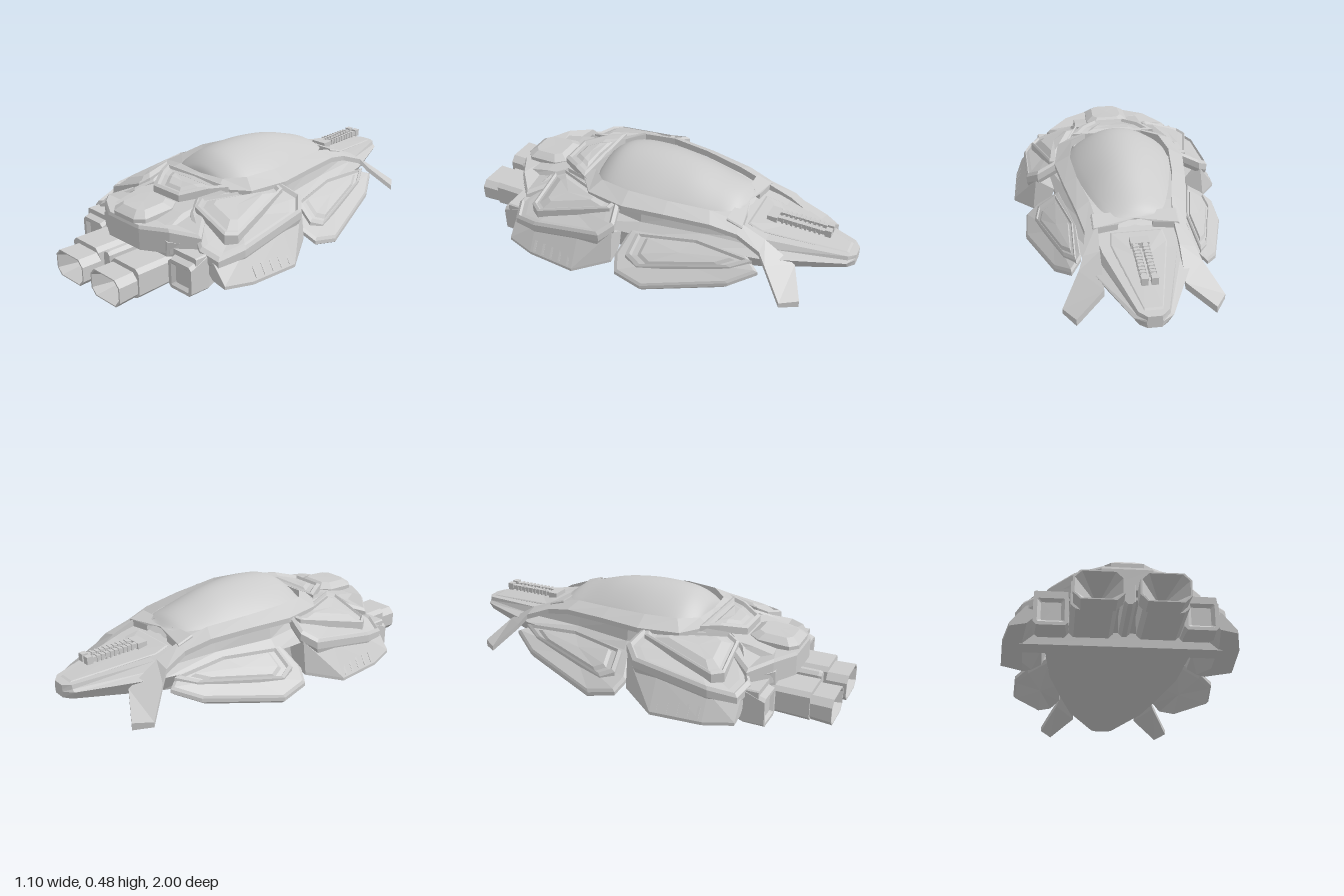
import * as THREE from 'three';

const material = new THREE.MeshStandardMaterial({ color: 0xcccccc, flatShading: true });
const smooth = new THREE.MeshStandardMaterial({ color: 0xcccccc, side: THREE.DoubleSide });

// Skin a closed solid through rings of equal point count, capped at both ends, facing outwards
function loft(rings) {
  const n = rings[0].length, pos = [], tris = [];
  const centre = r => r.reduce((s, p) => s.map((v, k) => v + p[k] / n), [0, 0, 0]);
  const first = centre(rings[0]), last = centre(rings[rings.length - 1]);
  for (let j = 0; j < n; j++) {
    const k = (j + 1) % n;
    tris.push([first, rings[0][k], rings[0][j]]);
    tris.push([last, rings[rings.length - 1][j], rings[rings.length - 1][k]]);
    for (let i = 0; i + 1 < rings.length; i++) {
      const a = rings[i], b = rings[i + 1];
      tris.push([a[j], a[k], b[k]], [a[j], b[k], b[j]]);
    }
  }
  let volume = 0;
  for (const [a, b, c] of tris) {
    volume += a[0] * (b[1] * c[2] - b[2] * c[1]) + a[1] * (b[2] * c[0] - b[0] * c[2]) + a[2] * (b[0] * c[1] - b[1] * c[0]);
  }
  for (const [a, b, c] of tris) pos.push(...a, ...(volume > 0 ? b : c), ...(volume > 0 ? c : b));
  const g = new THREE.BufferGeometry();
  g.setAttribute('position', new THREE.Float32BufferAttribute(pos, 3));
  g.computeVertexNormals();
  return g;
}

// Rings of a layered plate: each layer is [scale about the centre, rise]
function plate(outline, layers) {
  const c = [0, 1, 2].map(k => outline.reduce((s, p) => s + p[k], 0) / outline.length);
  return layers.map(([s, dy]) => outline.map(p => p.map((v, k) => c[k] + (v - c[k]) * s + (k === 1 ? dy : 0))));
}

// Rectangle with chamfered corners, facing z
function octRing(cx, cy, w, h, c, z) {
  const x = w / 2, y = h / 2;
  return [[x - c, y], [x, y - c], [x, c - y], [x - c, -y], [c - x, -y], [-x, c - y], [-x, y - c], [c - x, y]]
    .map(([a, b]) => [cx + a, cy + b, z]);
}

// Complete an outline that is given for the +x half only
const fullOutline = half => [...half, ...half.map(([x, y, z]) => [-x, y, z]).reverse()];

export function createModel() {
  const group = new THREE.Group();
  const add = (name, geometry, mat = material) => {
    const m = new THREE.Mesh(geometry, mat);
    m.name = name;
    group.add(m);
  };
  const both = (name, rings) => {
    add(name + 'Left', loft(rings));
    add(name + 'Right', loft(rings.map(r => r.map(([x, y, z]) => [-x, y, z]))));
  };
  const box = (name, x, y, z, w, h, d) => add(name, new THREE.BoxGeometry(w, h, d).translate(x, y, z));

  // Main hull: z, top half-width, top y, edge half-width, edge y, bottom half-width, bottom y
  const stations = [
    [-1, 0.03, 0.23, 0.035, 0.2, 0.03, 0.17],
    [-0.97, 0.065, 0.235, 0.085, 0.205, 0.06, 0.165],
    [-0.6, 0.17, 0.275, 0.25, 0.22, 0.2, 0.135],
    [-0.3, 0.215, 0.335, 0.29, 0.205, 0.26, 0.11],
    [0, 0.27, 0.34, 0.33, 0.2, 0.32, 0.1],
    [0.35, 0.2, 0.345, 0.37, 0.2, 0.35, 0.11],
    [0.6, 0.18, 0.3, 0.36, 0.2, 0.34, 0.14],
    [0.73, 0.18, 0.27, 0.23, 0.22, 0.22, 0.15],
  ];
  add('hull', loft(stations.map(([z, wt, yt, wm, ym, wb, yb]) =>
    fullOutline([[wt, yt, z], [wt * 0.75 + wm * 0.25, yt * 0.35 + ym * 0.65, z], [wm, ym, z], [wb, yb, z]]))));

  // Raised nose deck
  add('noseDeck', loft(plate(
    fullOutline([[0.04, 0.232, -0.97], [0.13, 0.28, -0.56], [0.12, 0.297, -0.49]]),
    [[1, -0.03], [1, 0.002], [0.95, 0.006]])));

  // Canopy dome swept along z: half-width, crest y, z
  const crest = new THREE.CatmullRomCurve3([
    [0.07, 0.35, 0.33], [0.165, 0.405, 0.3], [0.23, 0.456, 0.22], [0.25, 0.475, 0.05], [0.215, 0.46, -0.15],
    [0.175, 0.42, -0.3], [0.135, 0.385, -0.4], [0.07, 0.35, -0.45],
  ].map(p => new THREE.Vector3(...p)));
  const dome = new THREE.PlaneGeometry(2, 1, 28, 40);
  const p = dome.attributes.position;
  for (let i = 0; i < p.count; i++) {
    const u = p.getX(i), c = crest.getPoint(p.getY(i) + 0.5);
    const arch = Math.max(Math.cos(u * Math.PI / 2), 0) ** 0.88;
    p.setXYZ(i, c.x * u, 0.35 + (c.y - 0.35) * arch, c.z);
  }
  dome.computeVertexNormals();
  add('canopy', dome, smooth);

  // Canopy frame running into splayed prongs: inner x, z, y then outer x, z, y
  const frame = [
    [0, 0.33, 0.375, 0, 0.39, 0.36], [0.15, 0.32, 0.38, 0.18, 0.38, 0.355],
    [0.23, 0.24, 0.39, 0.3, 0.28, 0.35], [0.255, 0.08, 0.393, 0.33, 0.08, 0.35],
    [0.235, -0.12, 0.385, 0.3, -0.13, 0.35], [0.195, -0.32, 0.372, 0.26, -0.35, 0.34],
    [0.175, -0.46, 0.34, 0.235, -0.48, 0.31], [0.18, -0.6, 0.285, 0.255, -0.6, 0.265],
    [0.18, -0.755, 0.19, 0.28, -0.64, 0.215], [0.31, -0.83, 0.1, 0.365, -0.75, 0.1],
  ];
  both('canopyFrame', frame.map(([xi, zi, yi, xo, zo, yo]) =>
    [[xi, yi, zi], [xo, yo, zo], [xo, yo - 0.025, zo], [xi, yi - 0.035, zi]]));
  add('frameCrossbar', loft(plate(
    fullOutline([[0.2, 0.352, -0.41], [0.2, 0.325, -0.49], [0.08, 0.325, -0.47], [0.08, 0.352, -0.43]]),
    [[1, -0.03], [1, 0], [0.97, 0.006]])));

  // Side fins behind the prongs
  const fin = [[0.31, 0.19, -0.62], [0.38, 0.13, -0.5], [0.5, 0.045, -0.1], [0.49, 0.075, 0.04],
    [0.43, 0.12, 0.07], [0.32, 0.205, 0.04], [0.26, 0.22, -0.3], [0.26, 0.215, -0.55]];
  both('sideFin', plate(fin, [[0.93, -0.03], [1, -0.015], [1, 0.003], [0.95, 0.012]]));
  const finPanel = [[0.285, 0.21, -0.58], [0.335, 0.175, -0.49], [0.45, 0.1, -0.06], [0.43, 0.13, 0.01],
    [0.34, 0.2, 0], [0.275, 0.22, -0.3]];
  both('finPanel', plate(finPanel, [[1, -0.02], [1, 0.018], [0.92, 0.026], [0.88, 0.012], [0.77, 0.012], [0.7, 0.024]]));

  // Shoulder armour with a recessed border and a raised wedge
  const armour = [[0.2, 0.295, 0.57], [0.15, 0.33, 0.49], [0.2, 0.35, 0.36], [0.31, 0.345, 0.1], [0.42, 0.3, 0.07],
    [0.475, 0.255, 0.13], [0.48, 0.19, 0.5], [0.445, 0.165, 0.63], [0.36, 0.2, 0.66]];
  both('shoulderArmour', plate(armour, [[0.96, -0.06], [1, -0.035], [1, 0], [0.94, 0.012], [0.9, -0.002], [0.8, 0]]));
  const wedge = [[0.32, 0.335, 0.12], [0.355, 0.33, 0.13], [0.435, 0.24, 0.5], [0.4, 0.245, 0.55], [0.2, 0.315, 0.54], [0.18, 0.335, 0.49]];
  both('armourWedge', plate(wedge, [[1, -0.04], [1, 0.006], [0.93, 0.012], [0.88, 0], [0.8, 0.002], [0.55, 0.02]]));

  // Flared skirts under the shoulders: z, top x, y, lower x, y, inner x, y
  const skirt = [[0.08, 0.43, 0.26, 0.45, 0.09, 0.41, 0.1], [0.25, 0.465, 0.21, 0.548, 0.04, 0.45, 0.06],
    [0.5, 0.465, 0.17, 0.53, 0.04, 0.44, 0.06], [0.64, 0.43, 0.15, 0.495, 0.055, 0.42, 0.07]];
  both('skirt', skirt.map(([z, tx, ty, lx, ly, ix, iy]) =>
    [[0.34, 0.2, z], [tx, ty, z], [lx, ly + 0.015, z], [lx, ly, z], [ix, iy, z], [0.36, 0.13, z]]));
  for (let i = 0; i < 5; i++) {
    const z = 0.27 + i * 0.05, x = 0.535 - i * 0.003;
    both('skirtRib' + i, [z, z + 0.012].map(t => [[x - 0.022, 0.115, t], [x + 0.008, 0.065, t], [x - 0.01, 0.06, t]]));
  }

  // Underside crossbeam
  box('crossbeam', 0, 0.1, 0.42, 0.92, 0.09, 0.09);

  // Engine deck, its rounded cover and the collar under the canopy
  add('engineDeck', loft(plate(
    fullOutline([[0.11, 0.275, 0.79], [0.235, 0.275, 0.72], [0.34, 0.25, 0.63], [0.25, 0.29, 0.52]]),
    [[1, -0.11], [1, -0.01], [0.95, 0.005]])));
  add('engineCover', loft(plate(
    fullOutline([[0.07, 0.285, 0.785], [0.11, 0.285, 0.75], [0.115, 0.295, 0.6], [0.08, 0.3, 0.55]]),
    [[1, -0.06], [1, 0.012], [0.88, 0.022], [0.68, 0.038]])));
  add('rearCollar', loft(plate(
    fullOutline([[0.22, 0.36, 0.35], [0.17, 0.36, 0.43], [0.09, 0.335, 0.54]]),
    [[1, -0.05], [1, 0.008], [0.86, 0.014], [0.78, 0], [0.6, 0], [0.45, 0.01]])));

  // Main nozzles with hollow funnels
  both('mainNozzle', [
    octRing(0.145, 0.085, 0.19, 0.13, 0.02, 0.62), octRing(0.145, 0.08, 0.19, 0.14, 0.02, 0.9),
    octRing(0.13, 0.067, 0.2, 0.124, 0.03, 0.9), octRing(0.132, 0.065, 0.205, 0.13, 0.03, 1),
    octRing(0.132, 0.065, 0.19, 0.12, 0.028, 1), octRing(0.13, 0.065, 0.035, 0.025, 0.004, 0.86)]);

  // Outer thrusters
  both('sideThruster', [
    octRing(0.318, 0.11, 0.145, 0.15, 0.015, 0.58), octRing(0.318, 0.105, 0.155, 0.17, 0.01, 0.64),
    octRing(0.318, 0.085, 0.15, 0.14, 0.015, 0.74), octRing(0.318, 0.085, 0.115, 0.11, 0.005, 0.74),
    octRing(0.318, 0.085, 0.085, 0.085, 0.004, 0.725)]);
  both('thrusterCap', [0.58, 0.71].map(z => octRing(0.318, 0.17, 0.15, 0.04, 0.006, z)));

  // Central boom between the nozzles
  add('centreBoom', loft([octRing(0, 0.097, 0.05, 0.115, 0.015, 0.6), octRing(0, 0.097, 0.05, 0.115, 0.015, 0.875), octRing(0, 0.097, 0.042, 0.105, 0.012, 0.89)]));

  // Twin gun with ribbed barrels on the nose
  box('gunMount', 0, 0.295, -0.58, 0.085, 0.04, 0.05);
  for (const s of [-1, 1]) {
    box('gunBarrel', s * 0.022, 0.303, -0.72, 0.022, 0.022, 0.27);
    box('gunMuzzle', s * 0.022, 0.305, -0.855, 0.03, 0.036, 0.03);
    for (let i = 0; i < 9; i++) box('gunRib', s * 0.022, 0.303, -0.63 - i * 0.023, 0.03, 0.03, 0.01);
  }
  return group;
}
